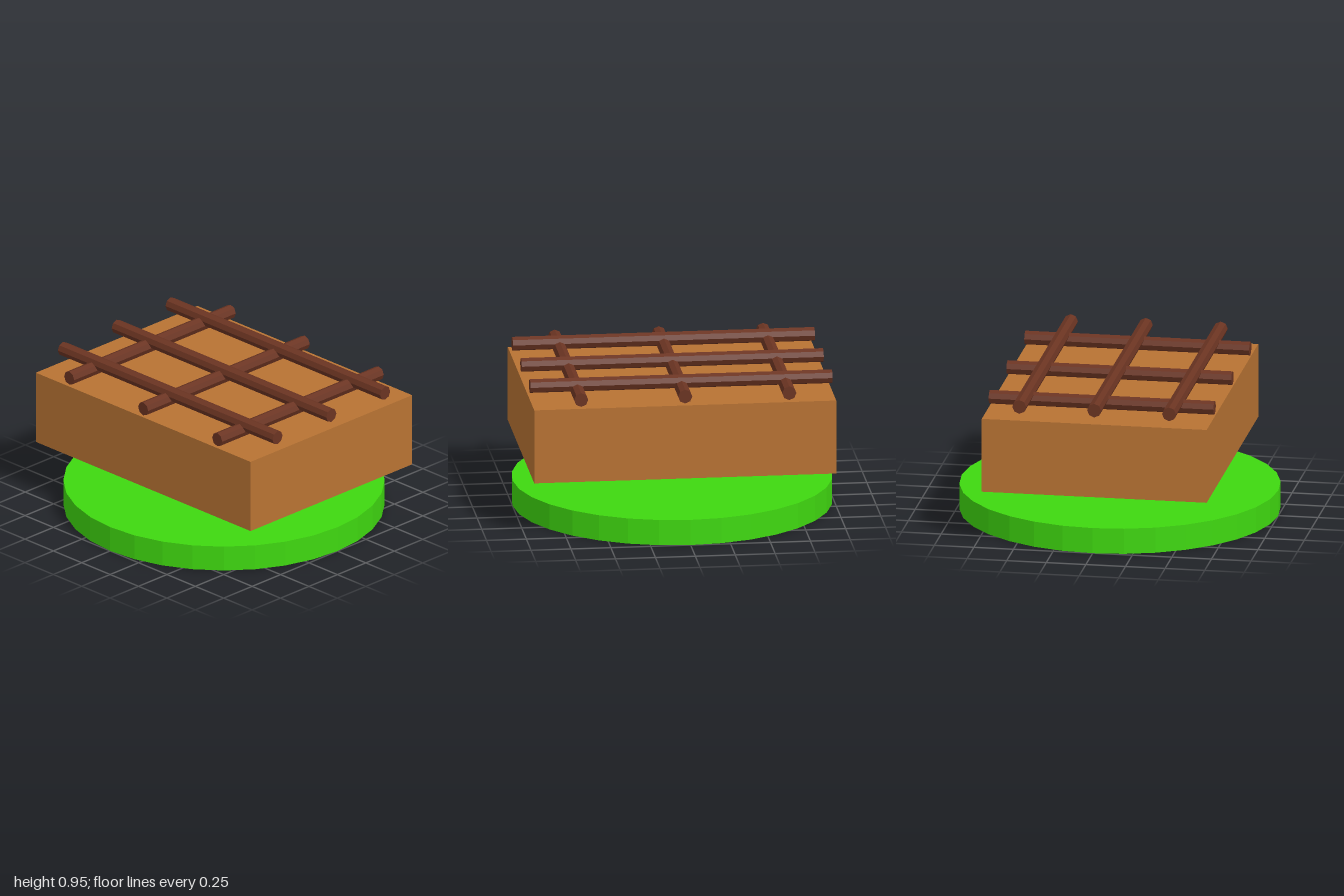
import * as THREE from 'three';

export function createModel() {
  const model = new THREE.Group();
  const paint = (name, color) => {
    const m = new THREE.MeshStandardMaterial({ color, flatShading: true });
    m.name = name;
    return m;
  };
  const green = paint('grass green', 0x3fd810);
  const brown = paint('earth brown', 0xb87333);
  const bark = paint('dark wood', 0x6b3422);

  const add = (name, geometry, material, x, y, z) => {
    const mesh = new THREE.Mesh(geometry, material);
    mesh.name = name;
    mesh.position.set(x, y, z);
    model.add(mesh);
    return mesh;
  };

  // Round base and the block floating above it
  add('baseDisc', new THREE.CylinderGeometry(1, 1, 0.163, 32), green, 0, 0.0815, 0);
  add('block', new THREE.BoxGeometry(1.892, 0.473, 1.42), brown, 0, 0.584, 0);

  // Lattice of eight-sided logs: three front to back, three across on top
  const longLog = new THREE.CylinderGeometry(0.0443, 0.0443, 1.892, 8).rotateZ(Math.PI / 2);
  const shortLog = new THREE.CylinderGeometry(0.0443, 0.0443, 1.42, 8).rotateX(Math.PI / 2);
  for (const i of [-1, 0, 1]) {
    add('lengthwiseLog', shortLog, bark, i * 0.652, 0.878, 0);
    add('crosswiseLog', longLog, bark, 0, 0.91, i * 0.473);
  }
  return model;
}
